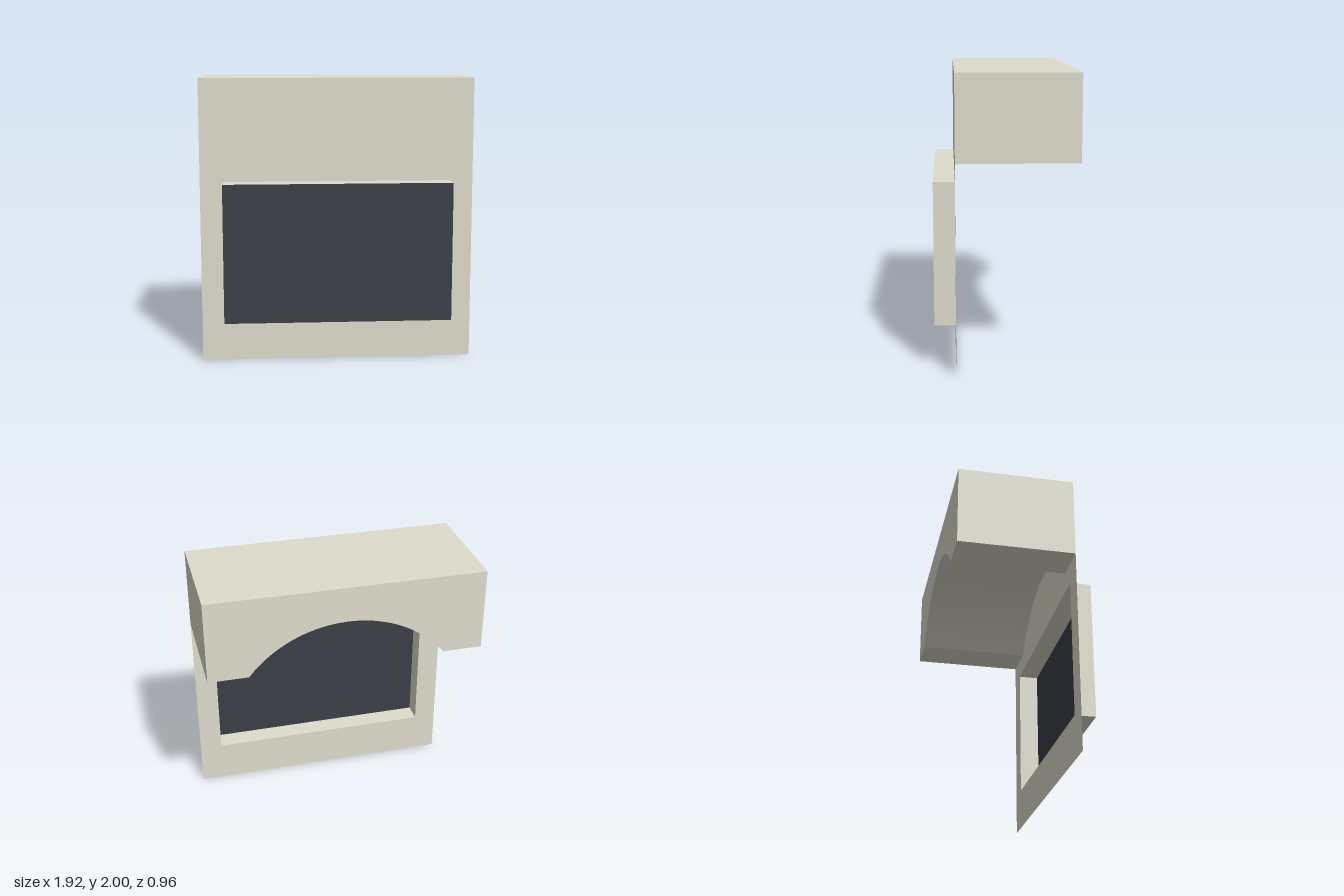
import * as THREE from 'three';
import { toCreasedNormals } from 'three/addons/utils/BufferGeometryUtils.js';

export function createModel() {
  const group = new THREE.Group();
  const cream = new THREE.MeshStandardMaterial({ color: 0xdddccc, side: THREE.DoubleSide });
  const dark = new THREE.MeshStandardMaterial({ color: 0x3b3e47, side: THREE.DoubleSide });

  const halfW = 0.96, zBack = -0.48, zPanel = 0.335, zScreen = 0.48;
  const halfScreen = 0.8, y0 = 0.3, y1 = 1.28;

  const add = (name, geometry, material, x = 0, y = 0, z = 0) => {
    const mesh = new THREE.Mesh(geometry, material);
    mesh.name = name;
    mesh.position.set(x, y, z);
    group.add(mesh);
    return mesh;
  };

  // Upper block with a circular arch cut through its underside
  const yBottom = 1.42, span = 0.68, rise = 0.33;
  const radius = (span * span + rise * rise) / (2 * rise);
  const cy = yBottom + rise - radius;
  const angle = Math.asin(span / radius);
  const block = new THREE.Shape();
  block.moveTo(-halfW, yBottom);
  block.lineTo(-span, yBottom);
  block.absarc(0, cy, radius, Math.PI / 2 + angle, Math.PI / 2 - angle, true);
  block.lineTo(halfW, yBottom);
  block.lineTo(halfW, 2);
  block.lineTo(-halfW, 2);
  block.closePath();
  const blockGeo = new THREE.ExtrudeGeometry(block, {
    depth: zPanel - zBack, bevelEnabled: false, curveSegments: 48,
  });
  add('archedBlock', toCreasedNormals(blockGeo, 0.35), cream, 0, 0, zBack);

  // Thin front panel with a rectangular opening
  const panel = new THREE.Shape([
    new THREE.Vector2(-halfW, 0), new THREE.Vector2(halfW, 0),
    new THREE.Vector2(halfW, 2), new THREE.Vector2(-halfW, 2),
  ]);
  panel.holes.push(new THREE.Path([
    new THREE.Vector2(-halfScreen, y0), new THREE.Vector2(-halfScreen, y1),
    new THREE.Vector2(halfScreen, y1), new THREE.Vector2(halfScreen, y0),
  ]));
  add('frontPanel', new THREE.ShapeGeometry(panel), cream, 0, 0, zPanel);

  // Thin walls that carry the screen forward, open at the back
  const depth = zScreen - zPanel, zMid = (zScreen + zPanel) / 2, yMid = (y0 + y1) / 2;
  for (const s of [-1, 1]) {
    const side = add(s > 0 ? 'leftWall' : 'rightWall',
      new THREE.PlaneGeometry(depth, y1 - y0), cream, s * halfScreen, yMid, zMid);
    side.rotation.y = s * Math.PI / 2;
    const flat = add(s > 0 ? 'topWall' : 'bottomWall',
      new THREE.PlaneGeometry(2 * halfScreen, depth), cream, 0, s > 0 ? y1 : y0, zMid);
    flat.rotation.x = -s * Math.PI / 2;
  }

  // Dark screen, seen from both sides
  add('screen', new THREE.PlaneGeometry(2 * halfScreen, y1 - y0), dark, 0, yMid, zScreen);

  return group;
}
